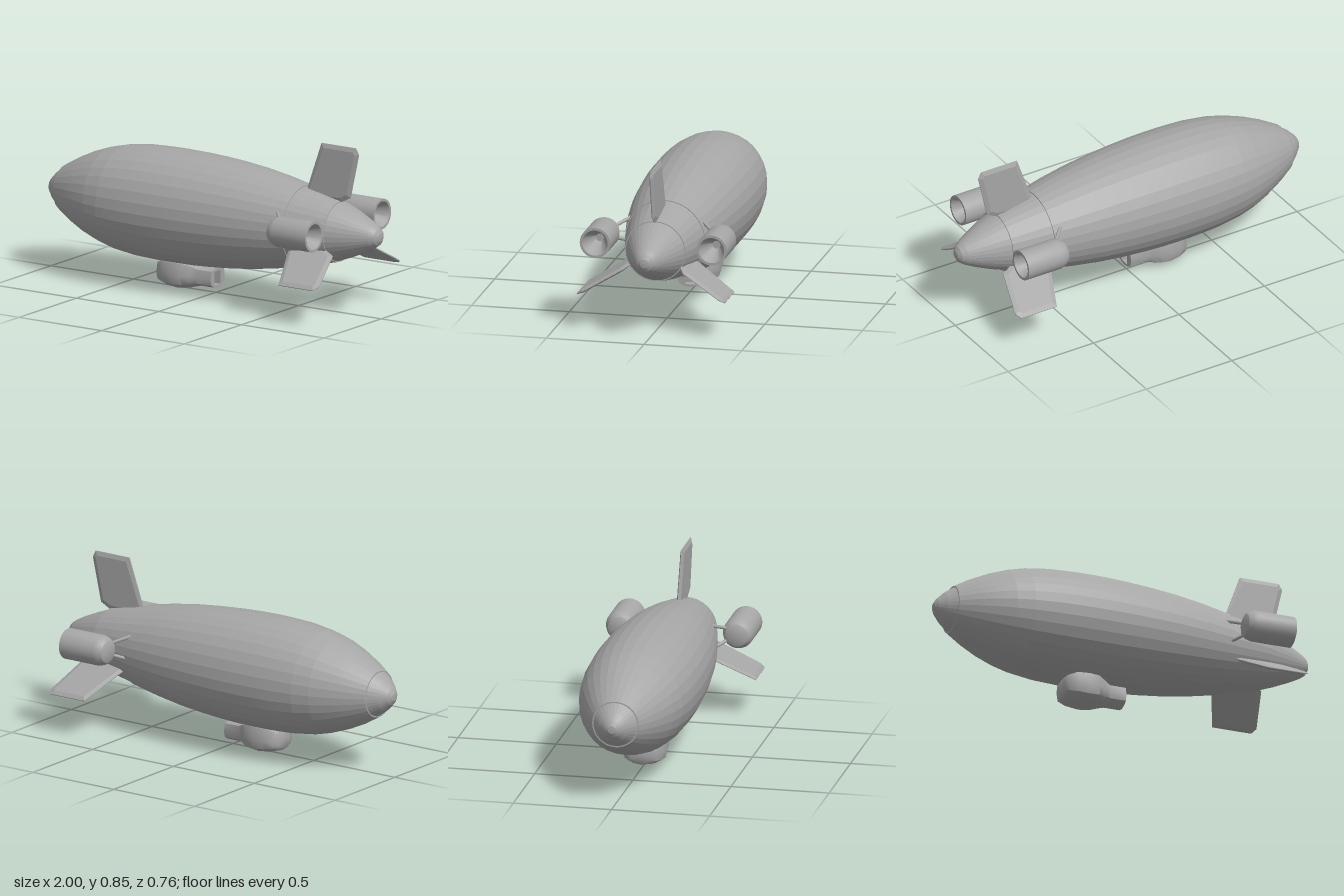
import * as THREE from 'three';
import { toCreasedNormals } from 'three/addons/utils/BufferGeometryUtils.js';

const AXIS_Y = 0.415; // height of the hull's centre line

const grey = new THREE.MeshStandardMaterial({ color: 0xa6a6a6 });
grey.name = 'airship grey';

function add(parent, name, geometry) {
  const mesh = new THREE.Mesh(geometry, grey);
  mesh.name = name;
  parent.add(mesh);
  return mesh;
}

// Revolves [x, radius] pairs around the x axis, listed nose to tail.
function revolve(profile, sides, crease) {
  const points = profile.map(([x, r]) => new THREE.Vector2(r, x));
  const g = new THREE.LatheGeometry(points, sides);
  g.rotateZ(-Math.PI / 2);
  g.deleteAttribute('normal');
  return toCreasedNormals(g, crease);
}

function strut(from, to, radius) {
  const a = new THREE.Vector3(...from), b = new THREE.Vector3(...to);
  return new THREE.TubeGeometry(new THREE.LineCurve3(a, b), 1, radius, 8);
}

// Fin plate in the xy plane, with sharpened edges.
function finGeometry() {
  const outline = [[0.535, 0.14], [0.64, 0.437], [0.848, 0.437], [0.866, 0.405], [0.815, 0.178], [0.76, 0.15]];
  const shape = new THREE.Shape(outline.map(([x, y]) => new THREE.Vector2(x, y)));
  const g = new THREE.ExtrudeGeometry(shape, {
    depth: 0.004, bevelEnabled: true, bevelThickness: 0.008,
    bevelSize: 0.022, bevelOffset: -0.022, bevelSegments: 1,
  });
  return g.translate(0, 0, -0.002);
}

// Gondola skinned through sections: [x, half width, bottom, top, square?]
function gondolaGeometry() {
  const round = [[0, 0], [0.5, 0.06], [0.88, 0.2], [1, 0.5], [0.87, 0.9], [0, 1]];
  const square = [[0, 0], [0.5, 0], [1, 0], [1, 0.5], [1, 1], [0, 1]];
  const stations = [
    [-0.318, 0, 0.075, 0.075], [-0.318, 0.055, 0.035, 0.12], [-0.305, 0.082, 0.02, 0.14],
    [-0.26, 0.106, 0.007, 0.158], [-0.2, 0.113, 0, 0.16], [-0.145, 0.106, 0.006, 0.158],
    [-0.105, 0.08, 0.018, 0.142], [-0.075, 0.064, 0.025, 0.127], [0.01, 0.063, 0.025, 0.127],
    [0.01, 0.026, 0.04, 0.11, true], [-0.03, 0.026, 0.04, 0.11, true], [-0.03, 0, 0.075, 0.075],
  ];
  const positions = [], index = [], n = 10;
  for (const [x, w, y0, y1, isSquare] of stations) {
    const half = isSquare ? square : round;
    for (let j = 0; j < n; j++) {
      const [u, v] = j < 6 ? half[j] : half[n - j];
      positions.push(x, y0 + (y1 - y0) * v, (j < 6 ? 1 : -1) * w * u);
    }
  }
  for (let i = 0; i < stations.length - 1; i++) {
    for (let j = 0; j < n; j++) {
      const a = i * n + j, b = i * n + (j + 1) % n;
      index.push(a, a + n, b, b, a + n, b + n);
    }
  }
  const g = new THREE.BufferGeometry();
  g.setAttribute('position', new THREE.Float32BufferAttribute(positions, 3));
  g.setIndex(index);
  return toCreasedNormals(g, 0.75);
}

export function createModel() {
  const model = new THREE.Group();
  model.name = 'airship';

  // Hull, faceted, with a nose cap and two stepped rings at the tail
  const hull = new THREE.Group();
  hull.name = 'hull';
  hull.position.y = AXIS_Y;
  model.add(hull);
  add(hull, 'noseCap', revolve([
    [-1, 0], [-0.998, 0.02], [-0.985, 0.042], [-0.95, 0.078], [-0.905, 0.112], [-0.9, 0.112], [-0.9, 0],
  ], 32, 0.1));
  add(hull, 'envelope', revolve([
    [-0.905, 0], [-0.905, 0.119], [-0.82, 0.168], [-0.73, 0.21], [-0.64, 0.242], [-0.55, 0.264],
    [-0.42, 0.281], [-0.3, 0.286], [-0.2, 0.287], [-0.1, 0.285], [0, 0.28], [0.12, 0.271],
    [0.25, 0.257], [0.4, 0.234], [0.54, 0.206], [0.54, 0],
  ], 32, 0.1));
  add(hull, 'tailSection', revolve([[0.54, 0], [0.54, 0.201], [0.65, 0.18], [0.755, 0.155], [0.755, 0]], 32, 0.1));
  add(hull, 'tailCone', revolve([
    [0.755, 0], [0.755, 0.15], [0.83, 0.122], [0.91, 0.087], [0.96, 0.061], [0.985, 0.043], [0.997, 0.022], [1, 0],
  ], 32, 0.1));

  // Three tail fins, evenly spaced around the hull
  const fin = finGeometry();
  ['topFin', 'lowerLeftFin', 'lowerRightFin'].forEach((name, i) => {
    add(hull, name, fin).rotation.x = i * Math.PI * 2 / 3;
  });

  // Engines on both sides, each with a hollow nozzle and two struts
  const engineBody = revolve([
    [0.543, 0], [0.544, 0.04], [0.552, 0.058], [0.57, 0.071], [0.595, 0.078],
    [0.8, 0.078], [0.8, 0.065], [0.69, 0.02], [0.69, 0],
  ], 32, 0.5);
  for (const side of [1, -1]) {
    const engine = new THREE.Group();
    engine.name = side > 0 ? 'frontEngine' : 'rearEngine';
    model.add(engine);
    add(engine, 'engineBody', engineBody).position.set(0, 0.45, side * 0.298);
    add(engine, 'upperStrut', strut([0.49, 0.515, side * 0.175], [0.58, 0.475, side * 0.26], 0.009));
    add(engine, 'lowerStrut', strut([0.5, 0.39, side * 0.185], [0.58, 0.425, side * 0.26], 0.009));
  }

  // Gondola below the hull, with an opening at its back
  add(model, 'gondola', gondolaGeometry());
  return model;
}
